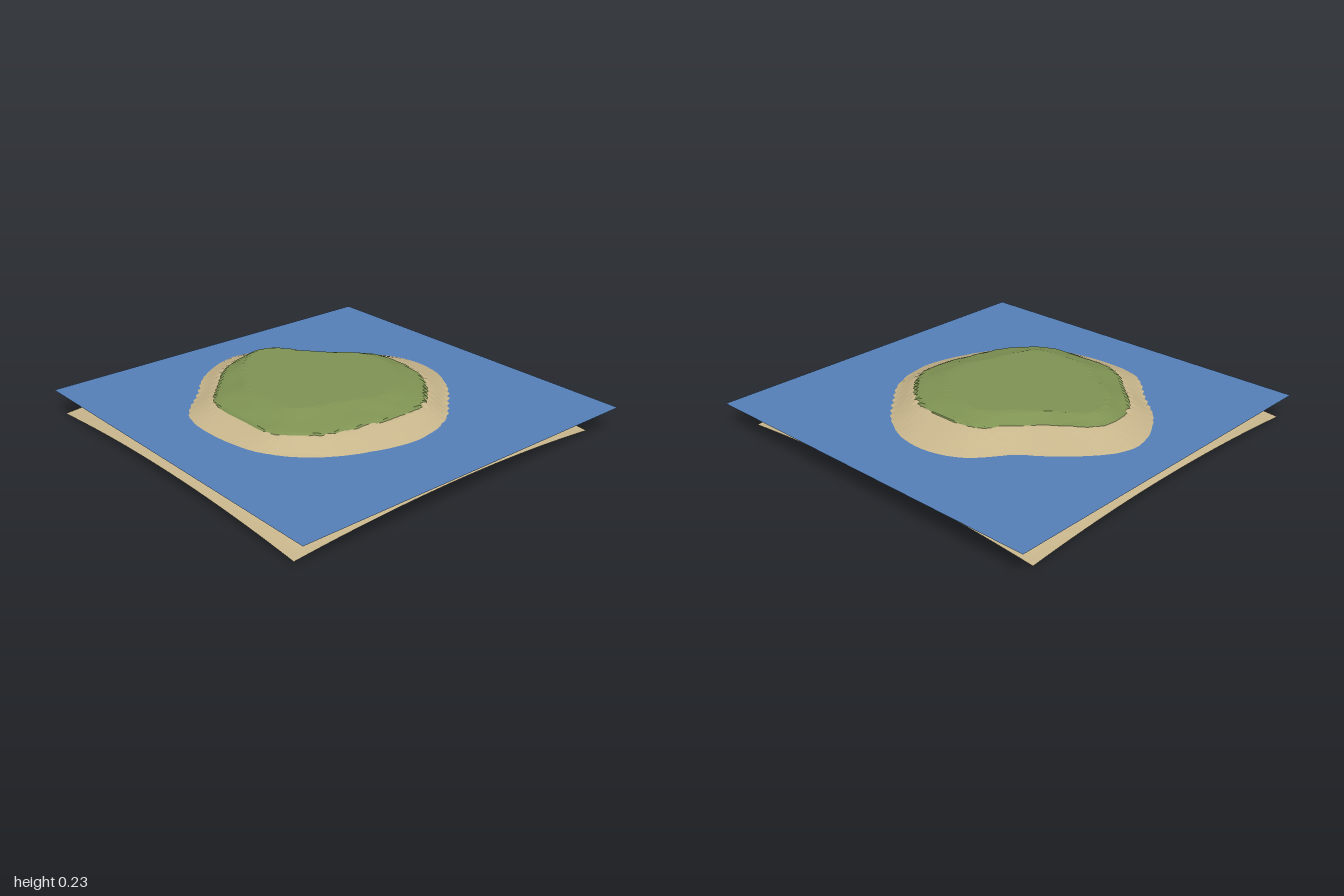
import * as THREE from 'three';

const WATER_Y = 0.125, TOP_Y = 0.235;
// Seabed square: slightly off centre
const CX = -0.025, CZ = 0.04, HALF = 0.932;

// Radii every 22.5 degrees, from +x towards +z
const SHORE = [.62, .62, .65, .68, .69, .715, .67, .73, .78, .67, .59, .66, .67, .62, .575, .60];
const GRASS = [.47, .47, .53, .58, .56, .59, .57, .61, .605, .46, .43, .48, .47, .48, .475, .49];
const PLATEAU = [.30, .28, .32, .40, .40, .42, .42, .50, .55, .40, .36, .38, .36, .34, .32, .32];

// Smooth periodic lookup of a radius table
function radiusAt(table, angle) {
  const n = table.length;
  const u = ((angle / (Math.PI * 2)) * n + n) % n;
  const i = Math.floor(u), t = u - i;
  const [a, b, c, d] = [-1, 0, 1, 2].map(k => table[(i + k + n) % n]);
  return b + 0.5 * t * (c - a + t * (2 * a - 5 * b + 4 * c - d + t * (3 * (b - c) + d - a)));
}

// Small repeatable bumps that break up the slopes
const ripple = (x, z) => 0.003 * Math.sin(x * 23 + 2 * Math.sin(z * 11)) * Math.sin(z * 19 + 1.3);

const rimHeight = angle => 0.187 - 0.009 * Math.sin(angle);

function sandHeight(x, z) {
  const r = Math.hypot(x, z), angle = Math.atan2(z, x);
  const shore = radiusAt(SHORE, angle), grass = radiusAt(GRASS, angle), rim = rimHeight(angle);
  if (r <= grass) return rim;
  if (r <= shore) return THREE.MathUtils.lerp(rim, WATER_Y, (r - grass) / (shore - grass));
  // Below the waterline, fall to the edge of the square; the corners lie lowest
  const dx = Math.cos(angle), dz = Math.sin(angle);
  const toX = (HALF + Math.sign(dx) * CX) / Math.max(Math.abs(dx), 1e-6);
  const toZ = (HALF + Math.sign(dz) * CZ) / Math.max(Math.abs(dz), 1e-6);
  const edge = Math.min(toX, toZ), corner = edge / Math.max(toX, toZ);
  const edgeY = 0.043 * (1 - corner * corner);
  const t = Math.min((r - shore) / (edge - shore), 1);
  const fall = 1 - Math.pow(1 - t, 1.25);
  return WATER_Y + (edgeY - WATER_Y) * fall + ripple(x, z) * 4 * t * (1 - t);
}

function grassHeight(x, z) {
  const r = Math.hypot(x, z), angle = Math.atan2(z, x);
  const inner = radiusAt(PLATEAU, angle), outer = radiusAt(GRASS, angle), rim = rimHeight(angle);
  if (r <= inner) return TOP_Y;
  if (r <= outer) {
    const t = (r - inner) / (outer - inner);
    return THREE.MathUtils.lerp(TOP_Y, rim + 0.004, t) + ripple(x, z) * 4 * t * (1 - t);
  }
  // Dive quickly beneath the sand past the rim
  return Math.max(rim - (r - outer) * 1.5, WATER_Y + 0.002);
}

// Square grid raised by a height rule; cells failing keep() are left out
function heightField(segments, height, keep = () => true) {
  const geo = new THREE.PlaneGeometry(2 * HALF, 2 * HALF, segments, segments);
  geo.rotateX(-Math.PI / 2);
  geo.translate(CX, 0, CZ);
  const pos = geo.attributes.position;
  for (let i = 0; i < pos.count; i++) pos.setY(i, height(pos.getX(i), pos.getZ(i)));
  const kept = [], index = geo.index.array;
  for (let i = 0; i < index.length; i += 3) {
    const tri = [index[i], index[i + 1], index[i + 2]];
    if (tri.some(v => keep(pos.getX(v), pos.getZ(v)))) kept.push(...tri);
  }
  geo.setIndex(kept);
  const solid = geo.toNonIndexed();
  solid.computeVertexNormals();
  return solid;
}

function part(name, geometry, color, flatShading) {
  const material = new THREE.MeshStandardMaterial({ color, flatShading, side: THREE.DoubleSide });
  const mesh = new THREE.Mesh(geometry, material);
  mesh.name = name;
  return mesh;
}

export function createModel() {
  const island = new THREE.Group();
  island.name = 'island';

  // Sand: beach and seabed in one sheet
  island.add(part('sand', heightField(44, sandHeight), 0xc8b68c, true));

  // Grass cap with a flat top
  const onGrass = (x, z) => Math.hypot(x, z) < radiusAt(GRASS, Math.atan2(z, x));
  island.add(part('grass', heightField(66, grassHeight, onGrass), 0x7f9353, true));

  // Water sheet
  const water = new THREE.PlaneGeometry(2, 2);
  water.rotateX(-Math.PI / 2);
  water.translate(0, WATER_Y, 0);
  island.add(part('water', water, 0x5580b8, false));

  return island;
}
